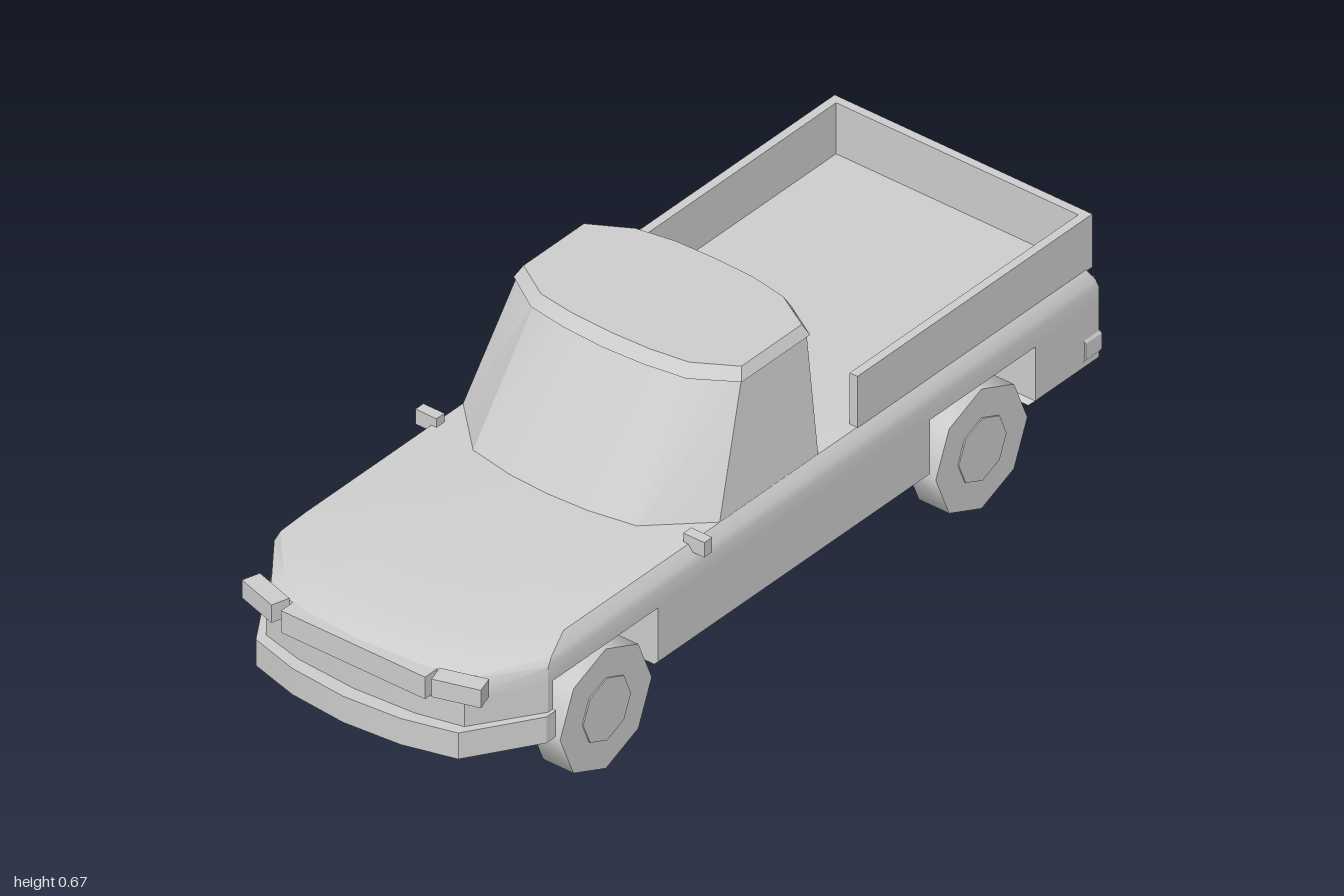
import * as THREE from 'three';
import { toCreasedNormals } from 'three/addons/utils/BufferGeometryUtils.js';

const paint = new THREE.MeshStandardMaterial({ color: 0xcccccc });
paint.name = 'light grey';

// Closed solid from stacked plan outlines: each ring is [y, half outline from front centre to rear centre as [x, z]]
function loft(rings, crease = 0.45) {
  const pos = [];
  const loops = rings.map(([y, half]) => {
    const right = half.map(([x, z]) => [x, y, z]);
    const left = half.slice(1, -1).reverse().map(([x, z]) => [-x, y, z]);
    return [...right, ...left];
  });
  const n = loops[0].length;
  const tri = (...p) => p.forEach((v) => pos.push(...v));
  const centre = (l, half) => [0, l[0][1], (half[0][1] + half[half.length - 1][1]) / 2];
  for (let r = 0; r + 1 < loops.length; r++) {
    const a = loops[r], b = loops[r + 1];
    for (let i = 0; i < n; i++) {
      const j = (i + 1) % n;
      tri(a[i], a[j], b[j]);
      tri(a[i], b[j], b[i]);
    }
  }
  const bottom = loops[0], top = loops[loops.length - 1];
  const cb = centre(bottom, rings[0][1]), ct = centre(top, rings[rings.length - 1][1]);
  for (let i = 0; i < n; i++) {
    const j = (i + 1) % n;
    tri(cb, bottom[j], bottom[i]);
    tri(ct, top[i], top[j]);
  }
  const g = new THREE.BufferGeometry();
  g.setAttribute('position', new THREE.Float32BufferAttribute(pos, 3));
  g.computeVertexNormals();
  return toCreasedNormals(g, crease);
}

export function createModel() {
  const truck = new THREE.Group();
  truck.name = 'pickupTruck';
  const add = (name, geo, x = 0, y = 0, z = 0) => {
    const m = new THREE.Mesh(geo, paint);
    m.name = name;
    m.position.set(x, y, z);
    truck.add(m);
    return m;
  };
  const box = (name, x0, x1, y0, y1, z0, z1) =>
    add(name, new THREE.BoxGeometry(x1 - x0, y1 - y0, z1 - z0), (x0 + x1) / 2, (y0 + y1) / 2, (z0 + z1) / 2);

  // Upper body: hood, shoulders and tail over the wheel wells
  const front = [[0, 0.965], [0.15, 0.955], [0.255, 0.93], [0.352, 0.785]];
  const rear = [[0.352, -0.945], [0.31, -0.965], [0.2, -0.975], [0, -0.98]];
  add('upperBody', loft([
    [0.305, [...front, ...rear]],
    [0.345, [[0, 0.95], [0.15, 0.94], [0.258, 0.91], [0.352, 0.785], ...rear]],
    [0.362, [[0, 0.915], [0.15, 0.905], [0.255, 0.875], [0.348, 0.77],
      [0.348, -0.94], [0.305, -0.96], [0.2, -0.968], [0, -0.972]]],
    [0.385, [[0, 0.82], [0.15, 0.815], [0.22, 0.8], [0.33, 0.71],
      [0.33, -0.93], [0.3, -0.945], [0.2, -0.952], [0, -0.955]]],
  ]));

  // Lower body in three blocks, leaving the wheel wells open
  const inset = (pts, d) => pts.map(([x, z]) => [Math.max(0, x - d), z - Math.sign(z) * d]);
  const block = (name, outline) => add(name, loft([
    [0.165, inset(outline, 0.01)], [0.175, outline], [0.305, outline],
  ]));
  block('noseLower', [...front, [0.352, 0.77], [0, 0.77]]);
  block('tailLower', [[0, -0.745], [0.352, -0.745], ...rear]);
  add('sillSection', loft([
    [0.165, [[0, 0.44], [0.342, 0.44], [0.342, -0.415], [0, -0.415]]],
    [0.175, [[0, 0.44], [0.352, 0.44], [0.352, -0.415], [0, -0.415]]],
    [0.305, [[0, 0.44], [0.352, 0.44], [0.352, -0.415], [0, -0.415]]],
  ]));

  // Cab with raked windscreen and a thin roof cap
  add('cab', loft([
    [0.383, [[0, 0.36], [0.1, 0.355], [0.21, 0.335], [0.33, 0.22],
      [0.33, -0.09], [0.22, -0.175], [0.1, -0.195], [0, -0.2]]],
    [0.648, [[0, 0.175], [0.1, 0.17], [0.2, 0.155], [0.288, 0.1],
      [0.288, -0.105], [0.2, -0.16], [0.1, -0.175], [0, -0.178]]],
  ]));
  add('roof', loft([
    [0.646, [[0, 0.185], [0.1, 0.18], [0.2, 0.165], [0.293, 0.105],
      [0.293, -0.11], [0.2, -0.165], [0.1, -0.182], [0, -0.185]]],
    [0.671, [[0, 0.162], [0.1, 0.158], [0.19, 0.145], [0.28, 0.09],
      [0.28, -0.1], [0.19, -0.152], [0.1, -0.168], [0, -0.171]]],
  ]));

  // Cargo bed walls
  for (const s of [1, -1]) {
    box('bedSide', s * 0.321 - 0.01, s * 0.321 + 0.01, 0.38, 0.508, -0.95, -0.212);
  }
  box('tailgate', -0.331, 0.331, 0.38, 0.508, -0.95, -0.93);

  // Bumpers
  const fb = [[0, 1], [0.14, 0.988], [0.26, 0.955], [0.36, 0.8], [0.36, 0.77], [0, 0.77]];
  add('frontBumper', loft([[0.174, fb], [0.237, fb]]));
  const rb = [[0, -0.9], [0.356, -0.9], [0.356, -0.95], [0.3, -0.983], [0.2, -0.995], [0, -1]];
  add('rearBumper', loft([
    [0.172, inset(rb, 0.012)], [0.195, rb], [0.232, rb], [0.242, inset(rb, 0.006)],
  ]));

  // Grille and plate
  box('grille', -0.185, 0.185, 0.293, 0.346, 0.92, 0.968);
  box('rearPlate', -0.075, 0.075, 0.255, 0.295, -0.988, -0.96);

  // Lights and mirrors on both sides
  for (const s of [1, -1]) {
    const lamp = box('headlight', s * 0.25 - 0.053, s * 0.25 + 0.053, 0.31, 0.353, 0.915, 0.958);
    lamp.rotation.y = s * 0.3;
    box('tailLight', s * 0.265 - 0.045, s * 0.265 + 0.045, 0.288, 0.332, -0.982, -0.95);
    box('mirror', s * 0.344 - 0.027, s * 0.344 + 0.027, 0.37, 0.406, 0.293, 0.318);
  }

  // Eight-sided wheels with low hub faces
  const tyre = new THREE.CylinderGeometry(0.144, 0.144, 0.078, 8).rotateZ(Math.PI / 2);
  const hub = new THREE.CylinderGeometry(0.075, 0.075, 0.084, 8).rotateZ(Math.PI / 2);
  const tyreGeo = toCreasedNormals(tyre, 0.9);
  const hubGeo = toCreasedNormals(hub, 0.9);
  for (const s of [1, -1]) {
    for (const z of [0.6, -0.58]) {
      add('wheel', tyreGeo, s * 0.31, 0.146, z);
      add('hub', hubGeo, s * 0.31, 0.146, z);
    }
  }
  return truck;
}
